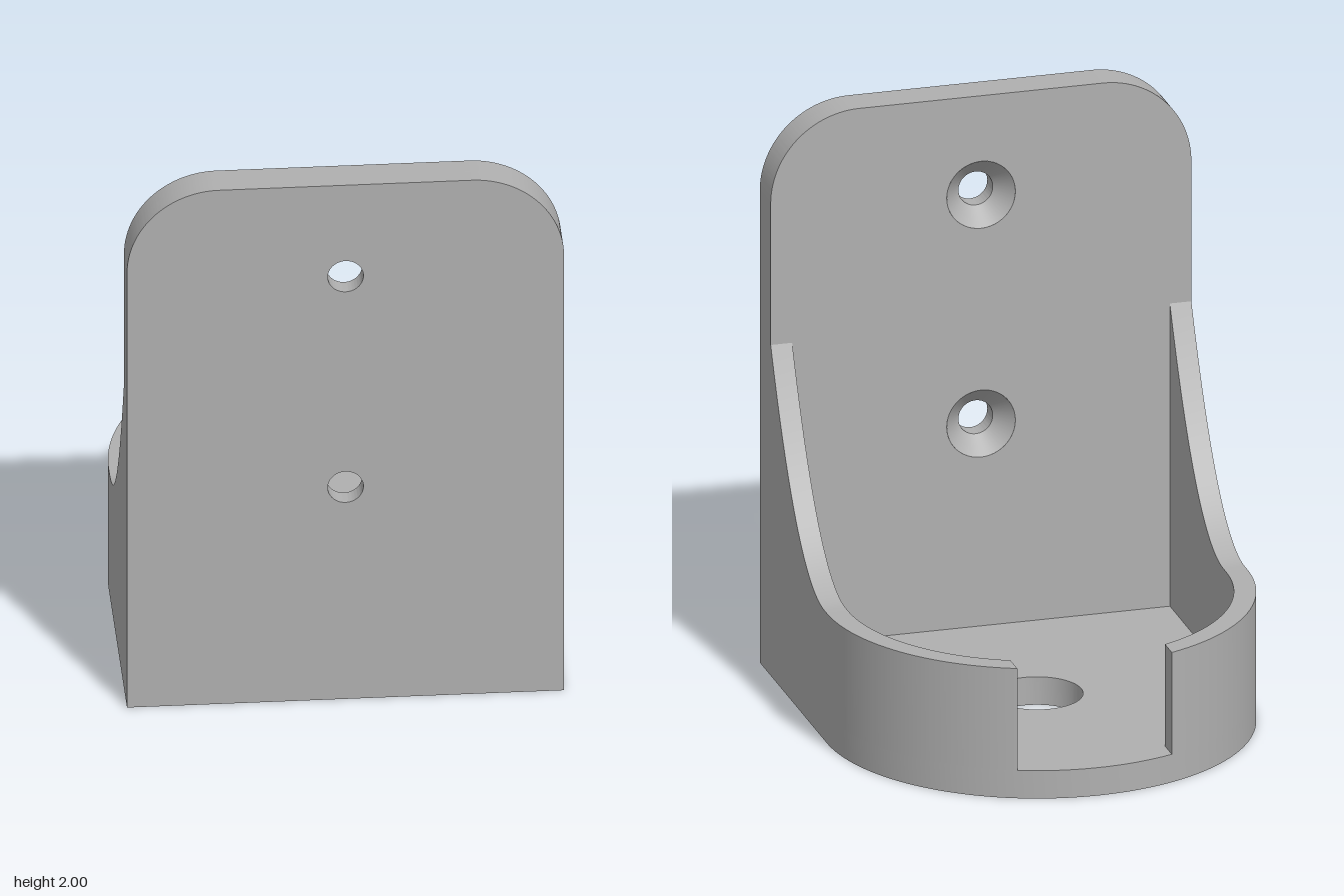
import * as THREE from 'three';
import { toCreasedNormals } from 'three/addons/utils/BufferGeometryUtils.js';

const HALF = 0.735;      // outer half width and nose radius
const INNER = 0.66;      // inside face of the walls
const NOSE_Z = -0.03;    // centre of the rounded nose
const PLATE_Z = 0.635;   // inside face of the mounting plate
const FRONT_Z = 0.765;
const FLOOR = 0.1;
const RIM = 0.465;
const GAP = 0.27;        // half width of the opening in the rim
const SCREW_Y = [0.825, 1.645];

const SEG = 48;

export function createModel() {
  const model = new THREE.Group();
  const grey = new THREE.MeshStandardMaterial({ color: 0xb0b0b0 });
  grey.name = 'grey plastic';

  const add = (name, geometry) => {
    const mesh = new THREE.Mesh(geometry, grey);
    mesh.name = name;
    model.add(mesh);
    return mesh;
  };
  const extrude = (shape, depth) => toCreasedNormals(
    new THREE.ExtrudeGeometry(shape, { depth, bevelEnabled: false, curveSegments: SEG }), 0.5);
  // Extrude a plan shape (x, -z) upwards from height y
  const extrudeUp = (shape, y, height) =>
    extrude(shape, height).rotateX(-Math.PI / 2).translate(0, y, 0);
  const circle = (x, y, r) => new THREE.Path().absarc(x, y, r, 0, Math.PI * 2, true);

  // Floor: straight sides, round nose, drain hole
  const floor = new THREE.Shape();
  floor.moveTo(-HALF, -PLATE_Z);
  floor.lineTo(HALF, -PLATE_Z);
  floor.lineTo(HALF, -NOSE_Z);
  floor.absarc(0, -NOSE_Z, HALF, 0, Math.PI, false);
  floor.closePath();
  floor.holes.push(circle(0, -NOSE_Z, 0.155));
  add('floor', extrudeUp(floor, 0, FLOOR));

  // Mounting plate in two layers: narrow screw holes in front, wide ones inside
  const plateLayer = (holeRadius) => {
    const r = 0.31;
    const s = new THREE.Shape();
    s.moveTo(-HALF, 0);
    s.lineTo(HALF, 0);
    s.lineTo(HALF, 2 - r);
    s.absarc(HALF - r, 2 - r, r, 0, Math.PI / 2, false);
    s.lineTo(-HALF + r, 2);
    s.absarc(-HALF + r, 2 - r, r, Math.PI / 2, Math.PI, false);
    s.closePath();
    SCREW_Y.forEach((y) => s.holes.push(circle(0, y, holeRadius)));
    return s;
  };
  const layer = (FRONT_Z - PLATE_Z) / 2;
  add('plateFront', extrude(plateLayer(0.06), layer).translate(0, 0, PLATE_Z + layer));
  add('plateInside', extrude(plateLayer(0.12), layer).translate(0, 0, PLATE_Z));

  // Countersinks, facing into the hole
  const sink = new THREE.LatheGeometry(
    [new THREE.Vector2(0.06, layer), new THREE.Vector2(0.12, 0)], SEG).rotateX(Math.PI / 2);
  SCREW_Y.forEach((y, i) => {
    add(i ? 'upperCountersink' : 'lowerCountersink', sink).position.set(0, y, PLATE_Z);
  });

  // Side wall profile in (z, y), sweeping up to the plate as a parabola
  const side = new THREE.Shape();
  side.moveTo(NOSE_Z, FLOOR);
  side.lineTo(PLATE_Z, FLOOR);
  const steps = 32;
  for (let i = steps; i >= 0; i--) {
    const t = i / steps;
    side.lineTo(PLATE_Z * t, RIM + 0.72 * t * t);
  }
  side.lineTo(NOSE_Z, RIM);
  side.closePath();

  // Curved rim wall, cut off straight at the opening
  const outerEnd = Math.acos(GAP / HALF);
  const innerEnd = Math.acos(GAP / INNER);
  for (const left of [true, false]) {
    const name = left ? 'left' : 'right';
    const wall = extrude(side, HALF - INNER).rotateY(-Math.PI / 2);
    add(name + 'Wall', wall.translate(left ? HALF : -INNER, 0, 0));

    const rim = new THREE.Shape();
    if (left) {
      rim.absarc(0, -NOSE_Z, HALF, 0, outerEnd, false);
      rim.absarc(0, -NOSE_Z, INNER, innerEnd, 0, true);
    } else {
      rim.absarc(0, -NOSE_Z, HALF, Math.PI - outerEnd, Math.PI, false);
      rim.absarc(0, -NOSE_Z, INNER, Math.PI, Math.PI - innerEnd, true);
    }
    rim.closePath();
    add(name + 'Rim', extrudeUp(rim, FLOOR, RIM - FLOOR));
  }
  return model;
}
